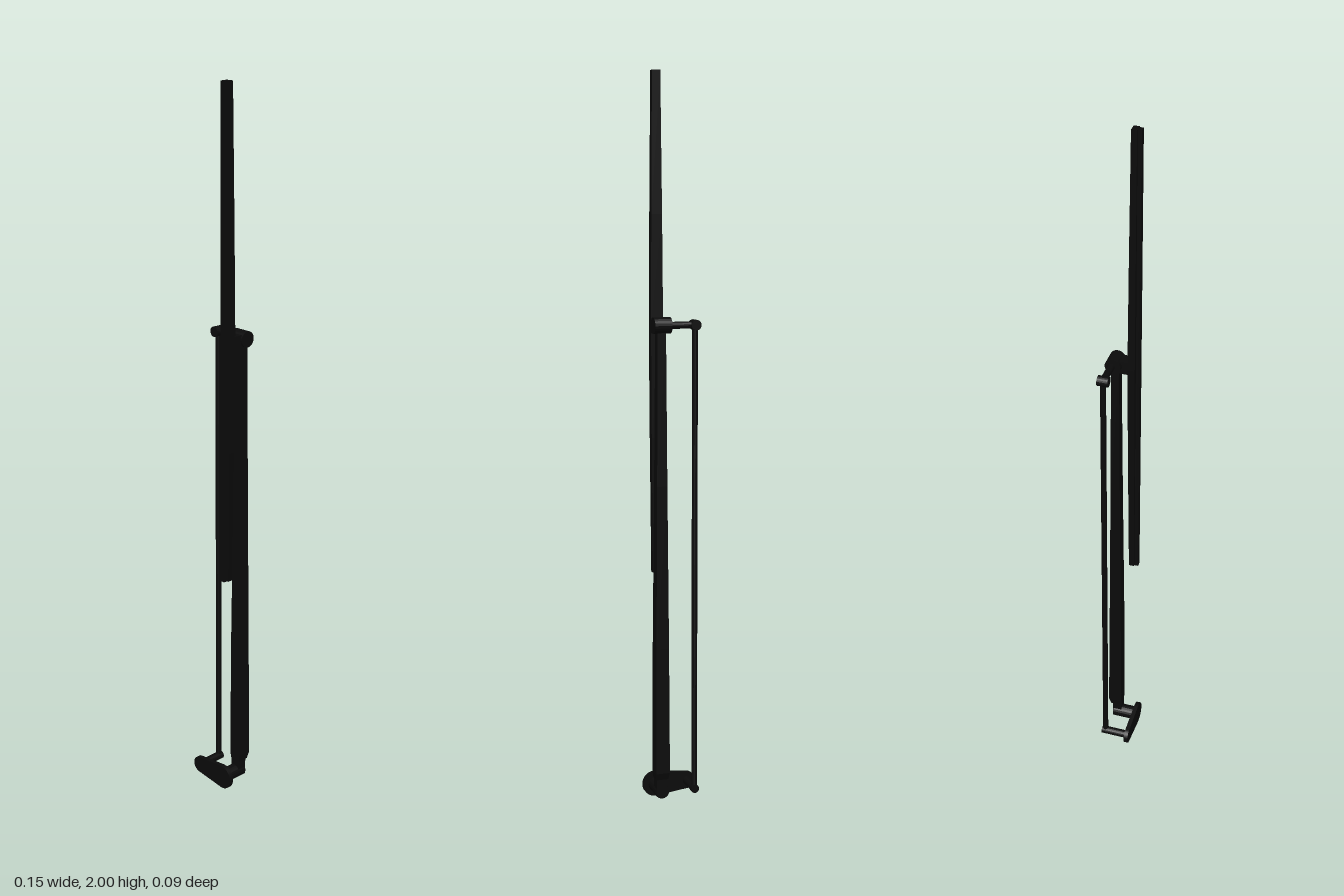
import * as THREE from 'three';

const BLACK = new THREE.MeshStandardMaterial({ color: 0x0b0b0b, flatShading: true });
const ARM_X = 0.042, ROD_X = -0.053, ROD_Z = -0.03, BASE_Y = 0.038, TIP_Y = 1.333;

function add(parent, name, geometry, x = 0, y = 0, z = 0) {
  const mesh = new THREE.Mesh(geometry, BLACK);
  mesh.name = name;
  mesh.position.set(x, y, z);
  parent.add(mesh);
  return mesh;
}

// Upright beam with a rectangular section; each station is [y, width, backZ, frontZ]
function beam(stations) {
  const pos = [], index = [];
  for (const [y, w, b, f] of stations) {
    pos.push(-w / 2, y, f, w / 2, y, f, w / 2, y, b, -w / 2, y, b);
  }
  const last = (stations.length - 1) * 4;
  for (let s = 0; s < last; s += 4) {
    for (let i = 0; i < 4; i++) {
      const a = s + i, b = s + (i + 1) % 4;
      index.push(a, b, b + 4, a, b + 4, a + 4);
    }
  }
  index.push(0, 2, 1, 0, 3, 2, last, last + 1, last + 2, last, last + 2, last + 3);
  const g = new THREE.BufferGeometry();
  g.setAttribute('position', new THREE.Float32BufferAttribute(pos, 3));
  g.setIndex(index);
  const flat = g.toNonIndexed();
  flat.computeVertexNormals();
  return flat;
}

// Cylinder lying along z between two depths
function pin(parent, name, r, x, y, z0, z1) {
  const g = new THREE.CylinderGeometry(r, r, z1 - z0, 20).rotateX(Math.PI / 2);
  return add(parent, name, g, x, y, (z0 + z1) / 2);
}

// Cylinder lying along x between two positions
function crossPin(parent, name, r, x0, x1, y, z) {
  const g = new THREE.CylinderGeometry(r, r, x1 - x0, 20).rotateZ(Math.PI / 2);
  return add(parent, name, g, (x0 + x1) / 2, y, z);
}

// Plate whose outline wraps a large and a small circle
function mountPlate() {
  const xs = ROD_X, xl = 0.04, rs = 0.024, rl = 0.035;
  const t = Math.acos((rl - rs) / (xl - xs));
  const shape = new THREE.Shape();
  shape.absarc(xl, 0, rl, -(Math.PI - t), Math.PI - t, false);
  shape.absarc(xs, 0, rs, Math.PI - t, Math.PI + t, false);
  shape.closePath();
  return new THREE.ExtrudeGeometry(shape, { depth: 0.012, bevelEnabled: false, curveSegments: 16 });
}

export function createModel() {
  const model = new THREE.Group();
  model.name = 'windscreenWiper';

  // Base plate with the drive shaft and the idler peg
  const base = new THREE.Group();
  base.name = 'base';
  model.add(base);
  add(base, 'mountPlate', mountPlate(), 0, BASE_Y, 0.034);
  pin(base, 'driveShaft', 0.02, 0.04, BASE_Y, -0.03, 0.035);
  pin(base, 'idlerPeg', 0.0115, ROD_X, BASE_Y, -0.04, 0.035);

  // Main arm: hinge root, then a long tapering channel
  const arm = new THREE.Group();
  arm.name = 'mainArm';
  model.add(arm);
  add(arm, 'armRoot', beam([
    [0.026, 0.03, -0.032, -0.005], [0.12, 0.03, -0.032, -0.005],
  ]), ARM_X);
  add(arm, 'armChannel', beam([
    [0.075, 0.034, -0.036, -0.006], [0.095, 0.039, -0.043, -0.005],
    [0.45, 0.036, -0.04, -0.006], [0.9, 0.029, -0.037, -0.01], [TIP_Y, 0.023, -0.035, -0.013],
  ]), ARM_X);

  // Thin parallel rod linked to the arm tip
  const link = new THREE.Group();
  link.name = 'parallelLink';
  model.add(link);
  add(link, 'linkRod', new THREE.CylinderGeometry(0.008, 0.008, TIP_Y - BASE_Y, 12),
    ROD_X, (TIP_Y + BASE_Y) / 2, ROD_Z);
  pin(link, 'rodEnd', 0.014, ROD_X, TIP_Y, -0.044, -0.014);
  crossPin(link, 'crossbar', 0.0095, ROD_X, ARM_X, TIP_Y, ROD_Z);

  // Pivot joining the arm to the blade
  crossPin(model, 'bladePivot', 0.022, 0.016, 0.064, TIP_Y, -0.026);
  add(model, 'bladeConnector', new THREE.BoxGeometry(0.036, 0.036, 0.04), ARM_X, TIP_Y - 0.004, 0);

  // Blade: carrier widest at the middle, with a narrow wiping edge
  const blade = new THREE.Group();
  blade.name = 'blade';
  model.add(blade);
  const bottom = 0.652, top = 2, mid = (bottom + top) / 2;
  add(blade, 'bladeCarrier', beam([
    [bottom, 0.023, 0.017, 0.032], [mid - 0.3, 0.03, 0.014, 0.032],
    [mid, 0.034, 0.012, 0.032], [mid + 0.3, 0.03, 0.014, 0.032], [top, 0.023, 0.017, 0.032],
  ]), 0.04);
  add(blade, 'wipingEdge', beam([
    [bottom, 0.014, 0.03, 0.043], [top, 0.014, 0.03, 0.043],
  ]), 0.04);

  return model;
}
